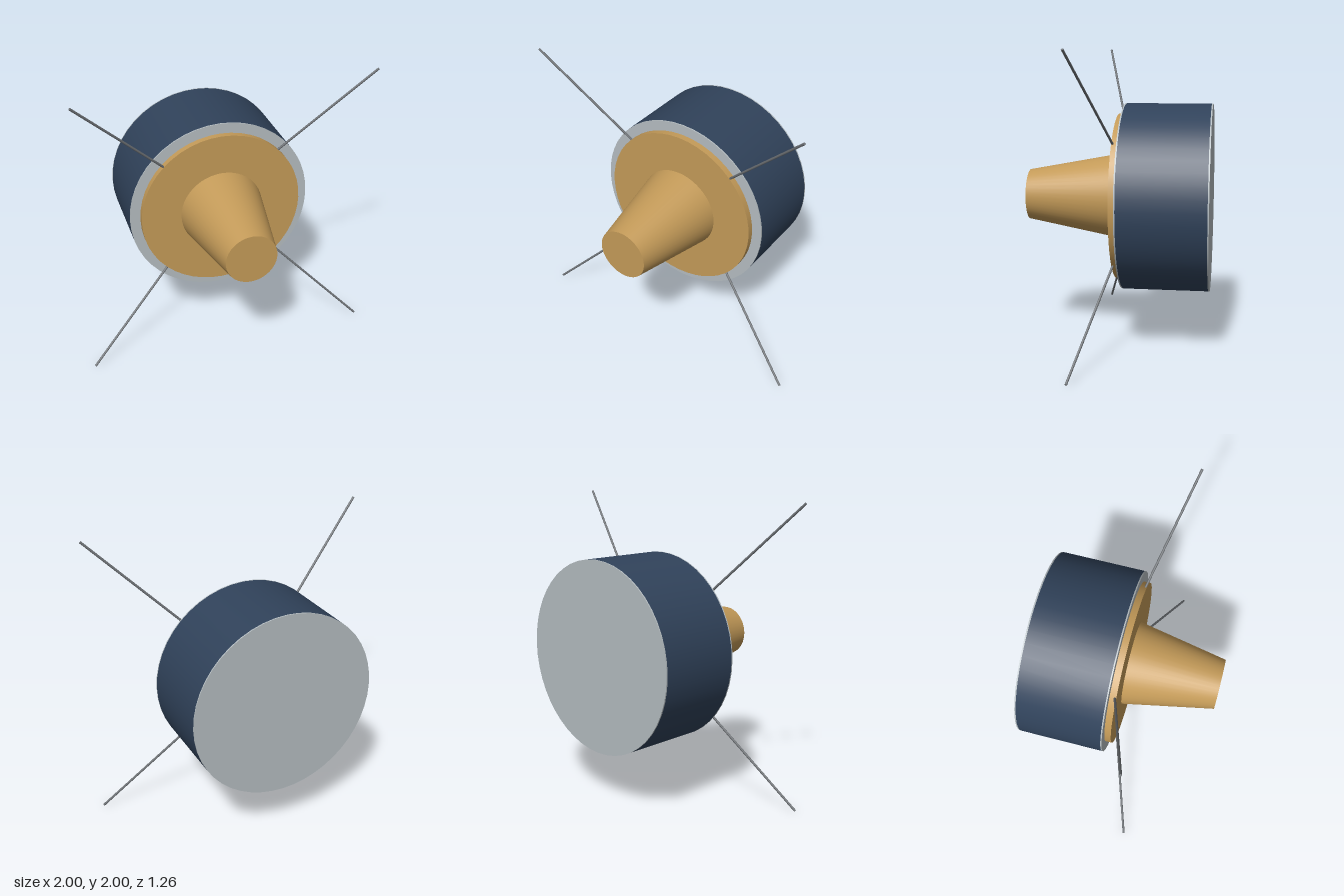
import * as THREE from 'three';

const CY = 1; // height of the central axis

function mat(name, color) {
  const m = new THREE.MeshStandardMaterial({ color });
  m.name = name;
  return m;
}

export function createModel() {
  const model = new THREE.Group();
  const silver = mat('silver', 0xb4bcc0);
  const navy = mat('navy', 0x30425a);
  const gold = mat('gold', 0xc39a58);
  const steel = mat('steel', 0x6c7074);

  // Round section along z, from z0 (radius r0) to z1 (radius r1)
  function section(name, z0, z1, r0, r1, material, open = false) {
    const geo = new THREE.CylinderGeometry(r1, r0, z1 - z0, 48, 1, open);
    geo.rotateX(Math.PI / 2);
    const mesh = new THREE.Mesh(geo, material);
    mesh.name = name;
    mesh.position.set(0, CY, (z0 + z1) / 2);
    model.add(mesh);
  }

  // Drum: navy wall between two thin silver end plates
  section('rearPlate', -0.63, -0.621, 0.638, 0.638, silver);
  section('drumWall', -0.621, -0.046, 0.638, 0.638, navy, true);
  section('frontPlate', -0.046, -0.037, 0.638, 0.638, silver);

  // Gold mounting disc and tapered nozzle
  section('mountingDisc', -0.037, 0.007, 0.567, 0.567, gold);
  section('nozzle', 0.007, 0.63, 0.29, 0.173, gold);

  // Four antenna rods splayed forward from the disc rim
  for (const sx of [-1, 1]) {
    for (const sy of [-1, 1]) {
      const a = new THREE.Vector3(sx * 0.401, CY + sy * 0.401, -0.004 + 0.002);
      const b = new THREE.Vector3(sx * 0.995, CY + sy * 0.995, 0.2);
      const dir = b.clone().sub(a);
      const rod = new THREE.Mesh(new THREE.CylinderGeometry(0.008, 0.008, dir.length(), 12), steel);
      rod.name = `${sy > 0 ? 'upper' : 'lower'}${sx > 0 ? 'Left' : 'Right'}Antenna`;
      rod.position.copy(a).add(b).multiplyScalar(0.5);
      rod.quaternion.setFromUnitVectors(new THREE.Vector3(0, 1, 0), dir.normalize());
      model.add(rod);
    }
  }
  return model;
}
